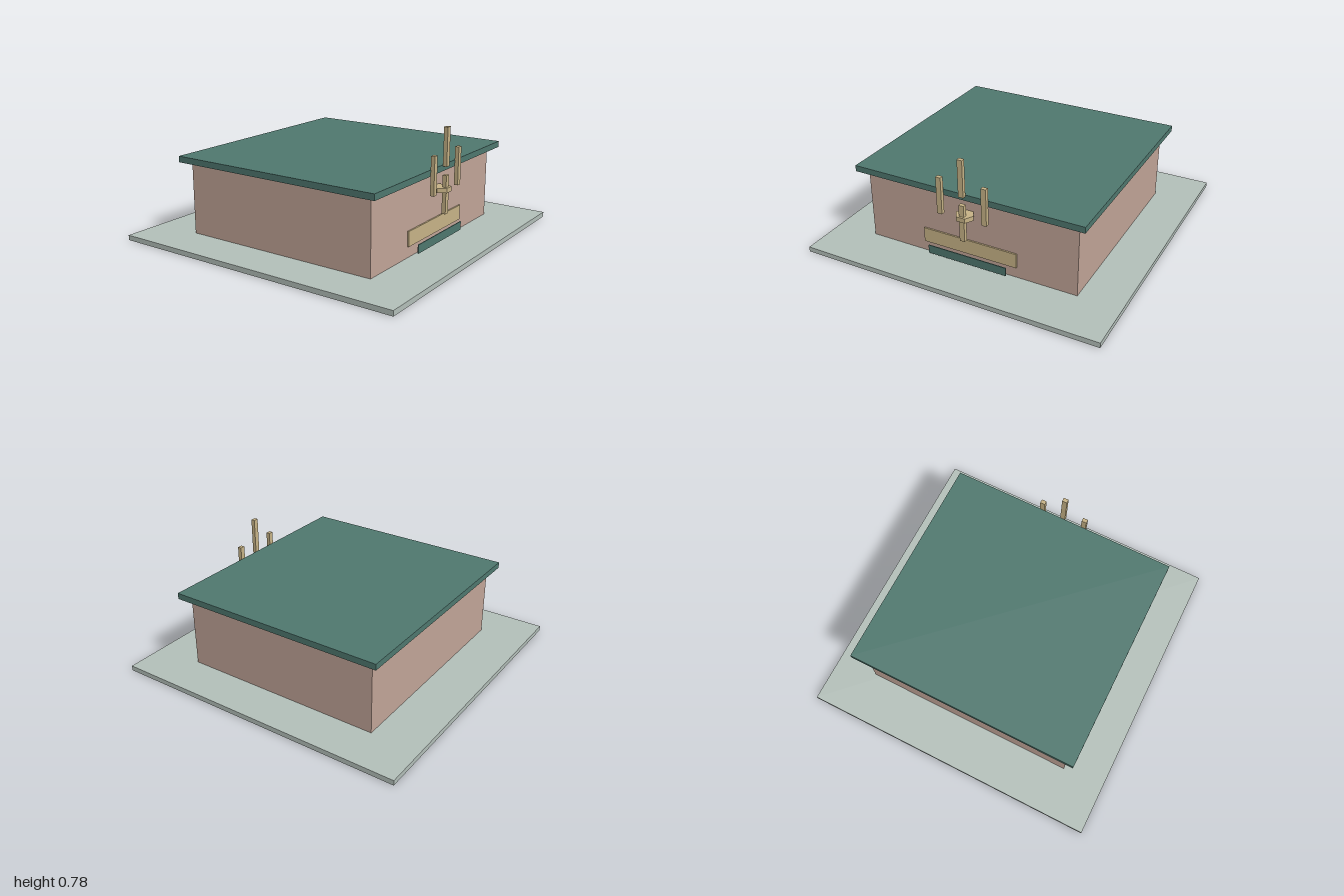
import * as THREE from 'three';

const paint = (name, color) => {
  const m = new THREE.MeshStandardMaterial({ color });
  m.name = name;
  return m;
};

export function createModel() {
  const model = new THREE.Group();
  model.name = 'pavilion';
  const stone = paint('paleStone', 0xb4c0ba);
  const plaster = paint('pinkPlaster', 0xc2a598);
  const teal = paint('tealRoof', 0x4f786f);
  const wood = paint('tanWood', 0xc8b487);

  // Box given by its size and centre
  const box = (name, material, size, centre) => {
    const mesh = new THREE.Mesh(new THREE.BoxGeometry(...size), material);
    mesh.name = name;
    mesh.position.set(...centre);
    model.add(mesh);
    return mesh;
  };

  // Building
  box('base', stone, [2, 0.033, 2], [0, 0.0165, 0]);
  box('walls', plaster, [1.44, 0.477, 1.355], [0, 0.2715, 0]);
  box('roof', teal, [1.556, 0.04, 1.472], [0, 0.53, 0]);

  // Small beam ends under the eaves, one at the middle of each wall
  for (const s of [-1, 1]) {
    box('beamEnd', teal, [0.03, 0.018, 0.006], [0, 0.501, s * 0.6785]);
    box('beamEnd', teal, [0.006, 0.018, 0.03], [s * 0.721, 0.501, 0]);
  }

  // Front sign board and the thin panel standing before it
  box('signBoard', wood, [0.648, 0.097, 0.01], [0, 0.153, 0.683]);
  box('frontPanel', teal, [0.544, 0.056, 0.006], [0, 0.082, 0.722]);

  // Upright bars: a split one in the middle and one on each side
  const bar = (name, x, y) => box(name, wood, [0.034, 0.245, 0.026], [x, y, 0.748]);
  bar('middleBarLower', 0, 0.362);
  bar('middleBarUpper', 0, 0.662);
  for (const s of [-1, 1]) bar('sideBar', s * 0.152, 0.512);

  // Six-sided collar around the middle bar
  const collar = new THREE.Mesh(
    new THREE.CylinderGeometry(0.06, 0.06, 0.03, 6).rotateY(Math.PI / 6).toNonIndexed(), wood);
  collar.geometry.computeVertexNormals();
  collar.name = 'collar';
  // Corners point along x
  collar.geometry.computeBoundingBox();
  const b = collar.geometry.boundingBox;
  if (b.max.z > b.max.x) collar.rotation.y = Math.PI / 6;
  collar.position.set(0, 0.395, 0.722);
  model.add(collar);

  return model;
}
